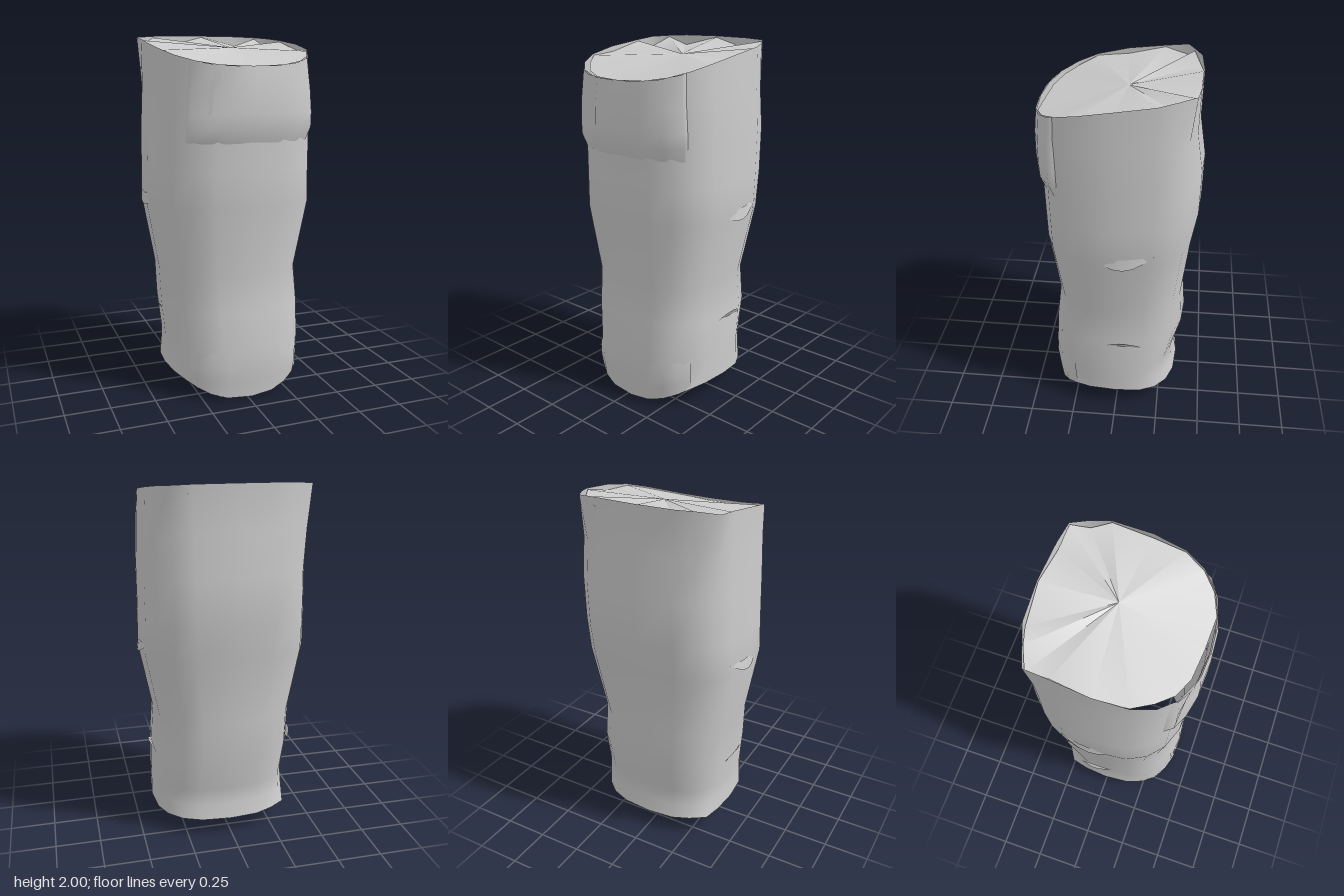
import * as THREE from 'three';

const SIDES = 20;
// Cross-sections: height, x min, x max, z back, z front, corner power at the back
const ROWS = [
  [0.10, -0.38, 0.41, -0.35, 0.38, 0.76],
  [0.19, -0.375, 0.41, -0.335, 0.395, 0.76],
  [0.28, -0.37, 0.41, -0.325, 0.40, 0.76],
  [0.50, -0.39, 0.405, -0.385, 0.385, 0.75],
  [0.70, -0.40, 0.39, -0.37, 0.36, 0.74],
  [1.08, -0.465, 0.465, -0.41, 0.41, 0.69],
  [1.28, -0.457, 0.46, -0.445, 0.415, 0.67],
  [1.53, -0.45, 0.46, -0.45, 0.42, 0.66],
  [1.75, -0.44, 0.45, -0.415, 0.43, 0.62],
  [1.94, -0.44, 0.44, -0.42, 0.43, 0.61],
];
const TOP = ROWS.length - 1;
const FRONT_POWER = 0.77;

// Squarish oval point; angle 0 faces the front, positive turns towards +x
function ovalPoint([y, x0, x1, z0, z1, backPower], a) {
  const sin = Math.sin(a), cos = Math.cos(a);
  const power = cos > 0 ? FRONT_POWER : backPower;
  const s = Math.abs(sin) ** power, c = Math.abs(cos) ** power;
  return [s * (sin > 0 ? x1 : x0), y, c * (cos > 0 ? z1 : z0)];
}

function sectionAt(y) {
  let i = 0;
  while (i < TOP - 1 && ROWS[i + 1][0] < y) i++;
  const t = (y - ROWS[i][0]) / (ROWS[i + 1][0] - ROWS[i][0]);
  return ROWS[i].map((v, k) => v + (ROWS[i + 1][k] - v) * t);
}

const rimHeight = (z) => 1.945 - 0.13 * z - 0.35 * Math.max(0, z) ** 2;
const lipHeight = (a) => {
  const c = Math.cos(a);
  return 0.12 - 0.12 * Math.max(0, c) ** 3 - 0.02 * Math.max(0, -c);
};

// Smooth sheet through a grid of points; wrap joins the last column to the first
function sheet(nu, nv, wrap, point) {
  const pos = [], idx = [];
  for (let v = 0; v < nv; v++) for (let u = 0; u < nu; u++) pos.push(...point(u, v));
  for (let v = 0; v < nv - 1; v++) {
    for (let u = 0; u < (wrap ? nu : nu - 1); u++) {
      const n = (u + 1) % nu;
      const a = v * nu + u, b = v * nu + n, c = a + nu, d = b + nu;
      idx.push(a, b, d, a, d, c);
    }
  }
  const g = new THREE.BufferGeometry();
  g.setAttribute('position', new THREE.Float32BufferAttribute(pos, 3));
  g.setIndex(idx);
  g.computeVertexNormals();
  return g;
}

// Single pulled or pushed points, keyed by row and side: dent, base corner, torn rim corners
const PULLS = { '0,13': 1.05, '1,3': 0.92, '8,13': 1.05, '9,8': 1.06, '9,13': 1.09 };

function trunkPoint(u, v) {
  const a = (u / SIDES) * Math.PI * 2;
  let [x, y, z] = ovalPoint(ROWS[v], a);
  if (v === 0) y = lipHeight(a);
  if (v === TOP) y = rimHeight(z);
  const k = PULLS[`${v},${u}`] ?? 1;
  return [x * k, y, z * k];
}

export function createModel() {
  const group = new THREE.Group();
  const gray = new THREE.MeshStandardMaterial({ color: 0xcccccc, side: THREE.DoubleSide });
  gray.name = 'pale gray';
  const add = (name, geometry) => {
    const mesh = new THREE.Mesh(geometry, gray);
    mesh.name = name;
    group.add(mesh);
  };

  // Hollow trunk, open underneath
  add('trunk', sheet(SIDES, ROWS.length, true, trunkPoint));

  // Slanted top, rippled towards the back and sunk a little inside the front rim
  add('topCap', sheet(SIDES, 2, true, (u, v) => {
    if (v === 1) return [0.05, 1.925, -0.04];
    const [x, y, z] = trunkPoint(u, TOP);
    const a = (u / SIDES) * Math.PI * 2;
    const back = Math.max(0, 0.3 - Math.cos(a));
    const ripple = (u % 2 ? -0.05 : 0) * Math.min(1, back * 1.5);
    const k = a > 5.2 || a < 0.3 ? 0.94 : 0.99;
    return [x * k, y + ripple - 0.008, z * k];
  }));

  // Bulging slab of bark at the upper front: sharp sides, dent left of the middle
  const slabY = [1.43, 1.5, 1.58, 1.7, 1.83];
  const slabOut = [0.995, 1.055, 1.06, 1.045, 1.01];
  const slabAngles = [-0.76, -0.64, -0.42, -0.22, 0, 0.25, 0.52, 0.8, 0.87];
  add('frontBark', sheet(9, 5, false, (u, v) => {
    const [x, y, z] = ovalPoint(sectionAt(slabY[v]), slabAngles[u]);
    let k = u === 0 || u === 8 ? 0.985 : slabOut[v];
    if (u === 2 && (v === 2 || v === 3)) k = 0.985;
    return [x * k, v === 4 ? rimHeight(z * k) : y, z * k];
  }));

  // Thin skirt of bark wrapped around the foot of the front
  const skirtOut = [1.005, 1.025, 1.02, 0.995];
  add('frontSkirt', sheet(9, 4, false, (u, v) => {
    const a = -0.95 + (u / 8) * 1.95;
    const low = lipHeight(a);
    const y = low + (0.275 - low) * (v / 3);
    const [x, , z] = ovalPoint(sectionAt(Math.max(0.1, y)), a);
    const k = u === 0 || u === 8 ? 0.99 : skirtOut[v];
    return [x * k, y, z * k];
  }));

  for (const side of [1, -1]) {
    const name = side > 0 ? 'left' : 'right';
    // Rows are swapped on the mirrored side so that both faces point outwards
    const flap = (n, upper, lower) => sheet(n, 2, false, (u, v) => {
      const t = side > 0 ? u / (n - 1) : 1 - u / (n - 1);
      const [x, y, z] = (v ? upper : lower)(t, Math.sin(t * Math.PI));
      return [side * x, y, z];
    });
    // Drooping bark flap at mid height
    add(name + 'MiddleFlap', flap(7,
      (t, bow) => [0.437 + 0.027 * bow, 1.115 + t * 0.025, 0.12 - t * 0.33],
      (t, bow) => [0.44 + 0.034 * bow, 1.115 + t * 0.025 - 0.065 * bow, 0.12 - t * 0.33]));
    // Small upturned chip near the base
    add(name + 'LowerChip', flap(6,
      (t, bow) => [0.4 + 0.03 * bow, 0.475 + 0.035 * bow, 0.05 - t * 0.19],
      (t) => [0.4, 0.465, 0.05 - t * 0.19]));
  }
  return group;
}
